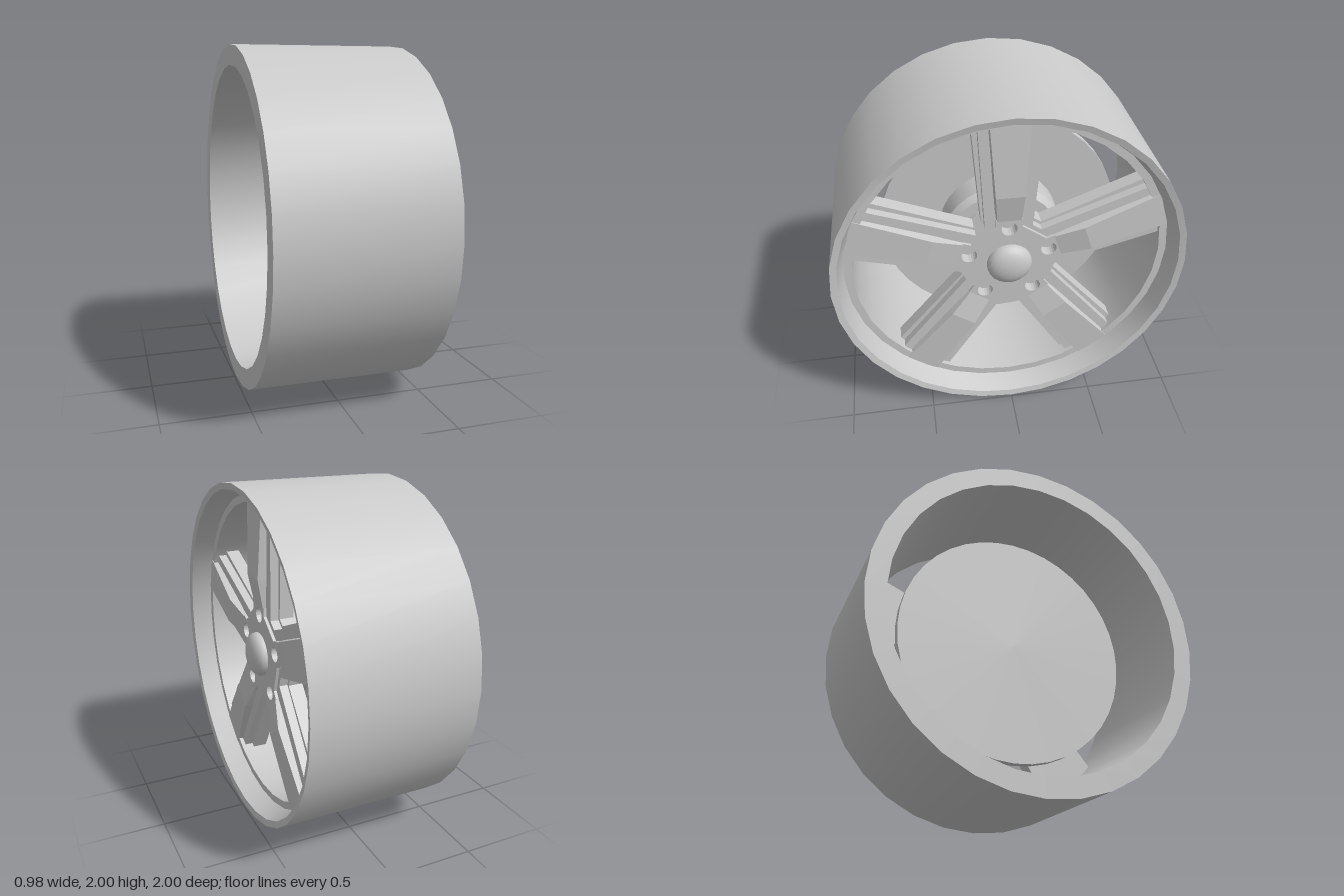
import * as THREE from 'three';
import { toCreasedNormals } from 'three/addons/utils/BufferGeometryUtils.js';

const SPOKES = 5, SEGMENTS = 32;
const metal = new THREE.MeshStandardMaterial({ color: 0xcacaca });
metal.name = 'silver metal';

const turn = (u, v, k) => {
  const a = (k * 2 * Math.PI) / SPOKES;
  return new THREE.Vector2(u * Math.cos(a) - v * Math.sin(a), u * Math.sin(a) + v * Math.cos(a));
};

// Profile of [radius, depth] turned about the axle
function turned(name, profile, segments = SEGMENTS) {
  const lathe = new THREE.LatheGeometry(profile.map(([r, d]) => new THREE.Vector2(r, d)), segments);
  lathe.rotateX(Math.PI / 2); // depth becomes local z
  const mesh = new THREE.Mesh(toCreasedNormals(lathe, 0.5), metal);
  mesh.name = name;
  return mesh;
}

// Star plate: the right-hand half of one arm is mirrored and repeated
function star(name, half, back, front, boltHole = 0) {
  const pts = [];
  for (let k = 0; k < SPOKES; k++) {
    half.forEach(([u, v]) => pts.push(turn(u, v, k)));
    [...half].reverse().forEach(([u, v]) => pts.push(turn(-u, v, k)));
  }
  const shape = new THREE.Shape(pts);
  for (let k = 0; boltHole && k < SPOKES; k++) {
    const c = turn(0, 0.24, k);
    shape.holes.push(new THREE.Path().absarc(c.x, c.y, boltHole, 0, Math.PI * 2, true));
  }
  const geo = new THREE.ExtrudeGeometry(shape, { depth: front - back, bevelEnabled: false, curveSegments: 10 });
  geo.translate(0, 0, back);
  const mesh = new THREE.Mesh(geo, metal);
  mesh.name = name;
  return mesh;
}

// Arm panel lofted along its radius; sections are [radius, half width, front]
function panelGeometry(sections, back) {
  const pos = [], index = [];
  sections.forEach(([r, h, front], i) => {
    pos.push(-h + 0.01, r, front, h - 0.01, r, front, h, r, back, -h, r, back);
    if (i === 0) return;
    for (let j = 0; j < 4; j++) {
      const a = (i - 1) * 4 + j, b = (i - 1) * 4 + ((j + 1) % 4);
      index.push(a, b, b + 4, a, b + 4, a + 4);
    }
  });
  const e = (sections.length - 1) * 4;
  index.push(e, e + 1, e + 2, e, e + 2, e + 3);
  const geo = new THREE.BufferGeometry();
  geo.setAttribute('position', new THREE.Float32BufferAttribute(pos, 3));
  geo.setIndex(index);
  const flat = geo.toNonIndexed();
  flat.computeVertexNormals();
  return flat;
}

export function createModel() {
  const wheel = new THREE.Group();
  wheel.name = 'wheel';

  // Barrel with a stepped lip on the outer face
  wheel.add(turned('rimBarrel', [
    [0.885, -0.49], [1, -0.49], [1, 0.49], [0.963, 0.482], [0.93, 0.36], [0.885, 0.36], [0.885, -0.49],
  ]));

  // Brake disc and the hub behind the arms
  wheel.add(turned('brakeDisc', [[0, -0.11], [0.72, -0.11], [0.72, -0.06], [0, -0.06]], 40));
  wheel.add(turned('rearHub', [[0.36, -0.06], [0.36, 0.1], [0.33, 0.14], [0.27, 0.14], [0.27, 0.23]]));

  // Arms in stepped layers
  wheel.add(star('spokeFlanges', [[0.15, 0.25], [0.195, 0.865], [0.13, 0.88]], 0.2, 0.285));
  wheel.add(star('spokeRails', [[0.135, 0.24], [0.165, 0.865], [0.115, 0.915]], 0.25, 0.335, 0.045));
  wheel.add(star('hubFace', [[0.075, 0.25], [0.075, 0.3]], 0.33, 0.353, 0.045));

  // Raised centre panels and wheel bolts
  const panel = panelGeometry([[0.295, 0.078, 0.353], [0.47, 0.09, 0.385], [0.925, 0.118, 0.362]], 0.31);
  const bolt = new THREE.CylinderGeometry(0.03, 0.03, 0.06, 10);
  bolt.rotateX(Math.PI / 2);
  for (let k = 0; k < SPOKES; k++) {
    const arm = new THREE.Mesh(panel, metal);
    arm.name = 'spokePanel';
    arm.rotation.z = (k * 2 * Math.PI) / SPOKES;
    const nut = new THREE.Mesh(bolt, metal);
    nut.name = 'wheelBolt';
    const c = turn(0, 0.24, k);
    nut.position.set(c.x, c.y, 0.275);
    wheel.add(arm, nut);
  }

  // Domed centre cap
  const dome = [[0.13, 0.34], [0.13, 0.365]];
  for (let i = 1; i <= 6; i++) {
    const a = (i / 6) * Math.PI / 2;
    dome.push([0.13 * Math.cos(a), 0.365 + 0.065 * Math.sin(a)]);
  }
  wheel.add(turned('centreCap', dome, 24));

  // Turn the axle onto x and stand the wheel on the ground
  wheel.rotation.y = Math.PI / 2;
  wheel.position.y = 1;
  const model = new THREE.Group();
  model.name = 'wheelModel';
  model.add(wheel);
  return model;
}
